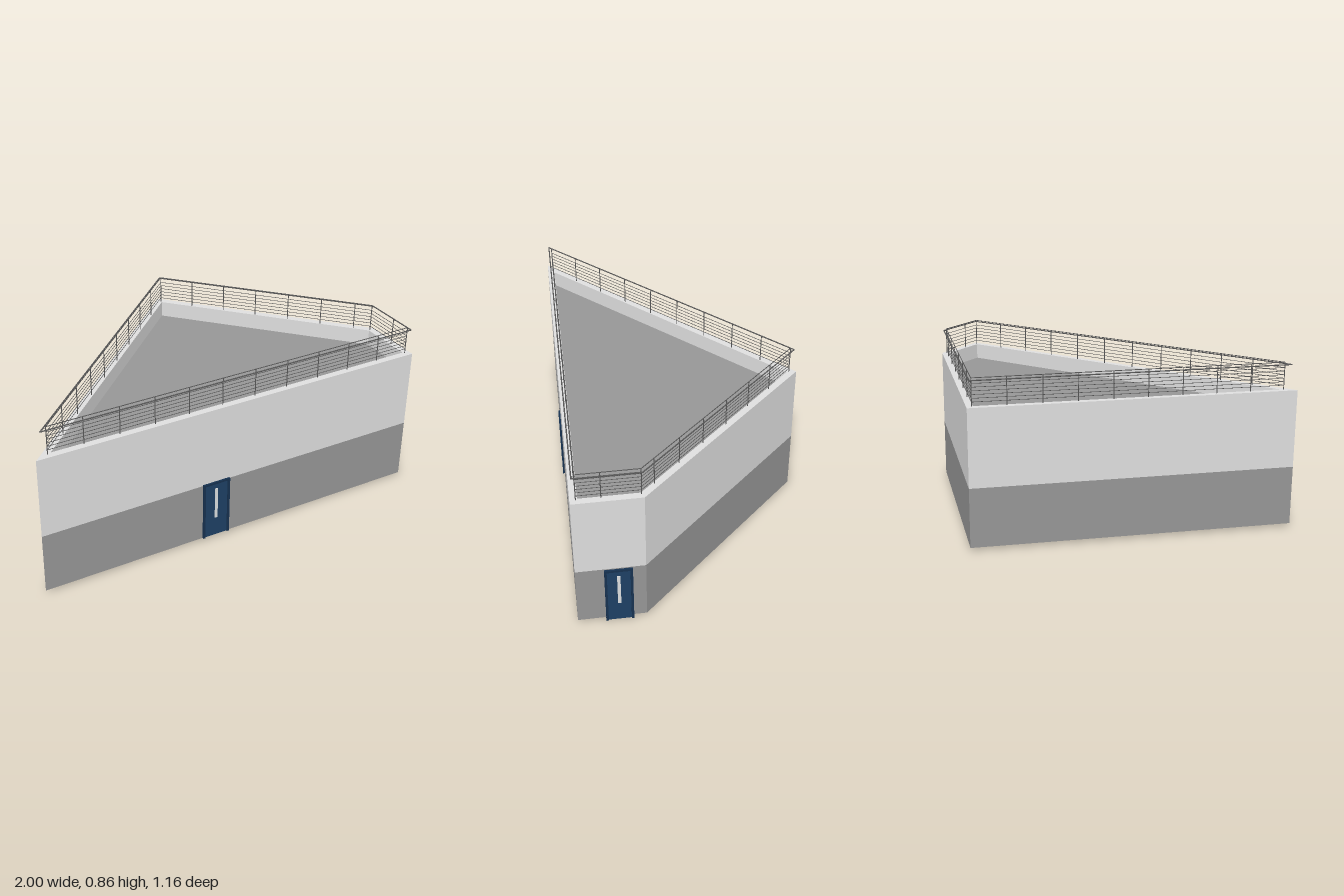
import * as THREE from 'three';

const mat = (name, color) => {
  const m = new THREE.MeshStandardMaterial({ color });
  m.name = name;
  return m;
};

// Footprint corners as [x, z]: back, right, front right, front left
const PLAN = [[0.19, -0.578], [0.99, 0.262], [0.99, 0.579], [-1, 0.554]];

// Move every edge of the footprint inwards by d and intersect the neighbours
function inset(d) {
  const n = PLAN.length;
  const lines = PLAN.map((p, i) => {
    const q = PLAN[(i + 1) % n];
    const len = Math.hypot(q[0] - p[0], q[1] - p[1]);
    const u = [(q[0] - p[0]) / len, (q[1] - p[1]) / len];
    return { p: [p[0] - u[1] * d, p[1] + u[0] * d], u };
  });
  return lines.map((b, i) => {
    const a = lines[(i + n - 1) % n];
    const cross = a.u[0] * b.u[1] - a.u[1] * b.u[0];
    const t = ((b.p[0] - a.p[0]) * b.u[1] - (b.p[1] - a.p[1]) * b.u[0]) / cross;
    return [a.p[0] + a.u[0] * t, a.p[1] + a.u[1] * t];
  });
}

// Vertical prism over a plan outline, with an optional hole
function prism(name, outline, y0, y1, material, hole) {
  const pts = (list) => list.map(([x, z]) => new THREE.Vector2(x, -z));
  const shape = new THREE.Shape(pts(outline));
  // The hole winds against the outline so that its walls face inwards
  if (hole) shape.holes.push(new THREE.Path(pts(hole).reverse()));
  const geo = new THREE.ExtrudeGeometry(shape, { depth: y1 - y0, bevelEnabled: false });
  geo.rotateX(-Math.PI / 2).translate(0, y0, 0);
  const mesh = new THREE.Mesh(geo, material);
  mesh.name = name;
  return mesh;
}

function box(name, w, h, d, x, y, z, material) {
  const mesh = new THREE.Mesh(new THREE.BoxGeometry(w, h, d), material);
  mesh.name = name;
  mesh.position.set(x, y, z);
  return mesh;
}

// Round rod between two points
function rod(name, p, q, radius, material) {
  const a = new THREE.Vector3(...p), b = new THREE.Vector3(...q);
  const dir = b.clone().sub(a);
  const mesh = new THREE.Mesh(new THREE.CylinderGeometry(radius, radius, dir.length(), 12), material);
  mesh.name = name;
  mesh.position.copy(a).add(b).multiplyScalar(0.5);
  mesh.quaternion.setFromUnitVectors(new THREE.Vector3(0, 1, 0), dir.normalize());
  return mesh;
}

export function createModel() {
  const upper = mat('light grey wall', 0xdedede);
  const lower = mat('dark grey wall', 0x969696);
  const roofGrey = mat('roof grey', 0x969696);
  const metal = mat('railing metal', 0x585858);
  const blue = mat('door blue', 0x1e4064);
  const frameBlue = mat('door frame blue', 0x163150);
  const glass = mat('door window', 0xdcdfe0);

  const model = new THREE.Group();
  model.name = 'triangularBuilding';

  // Walls, parapet and sunken roof; the base has a light underside
  const inner = inset(0.033);
  model.add(
    prism('lowerWall', PLAN, 0.015, 0.32, [upper, lower]),
    prism('upperWall', PLAN, 0.32, 0.72, upper, inner),
    prism('roof', inner, 0.6, 0.64, roofGrey),
  );

  // Railing: posts at a fixed spacing, thin wires, and an outer handrail
  const railing = new THREE.Group();
  railing.name = 'railing';
  const line = inset(0.026), hand = inset(0.013);
  const step = 0.173;
  line.forEach((p, i) => {
    const j = (i + 1) % line.length;
    const q = line[j];
    const len = Math.hypot(q[0] - p[0], q[1] - p[1]);
    const u = [(q[0] - p[0]) / len, (q[1] - p[1]) / len];
    const along = (name, a, b, y, r) => railing.add(rod(name, [a[0], y, a[1]], [b[0], y, b[1]], r, metal));
    for (let s = 0; s < len - 0.03; s += step) {
      const x = p[0] + u[0] * s, z = p[1] + u[1] * s;
      railing.add(rod('post', [x, 0.72, z], [x, 0.86, z], 0.0022, metal));
      along('bracket', [x, z], [x + u[1] * 0.013, z - u[0] * 0.013], 0.848, 0.0012);
    }
    for (let k = 0; k < 6; k++) along('wire', p, q, 0.742 + k * 0.018, 0.0014);
    along('topRail', p, q, 0.859, 0.002);
    along('handrail', hand[i], hand[j], 0.849, 0.003);
  });
  model.add(railing);

  // Door facing local +z, standing on local y = 0, with its frame standing proud
  function door(name, w, h, x, y, z, turn) {
    const g = new THREE.Group();
    g.name = name;
    const t = 0.011;
    for (const s of [-1, 1]) {
      g.add(box('jamb', t, h, 0.03, s * (w - t) / 2, h / 2, -0.005, frameBlue));
    }
    g.add(
      box('lintel', w - 2 * t, t, 0.03, 0, h - t / 2, -0.005, frameBlue),
      box('doorLeaf', w - 2 * t, h - t, 0.02, 0, (h - t) / 2, -0.006, blue),
      box('doorWindow', 0.015, 0.17, 0.003, 0, h * 0.6, 0.005, glass),
    );
    g.position.set(x, y, z);
    g.rotation.y = turn;
    model.add(g);
  }
  door('frontDoor', 0.142, 0.31, -0.115, 0.015, 0.564, -0.0126);
  door('sideDoor', 0.128, 0.315, 0.99, 0, 0.386, Math.PI / 2);

  return model;
}
